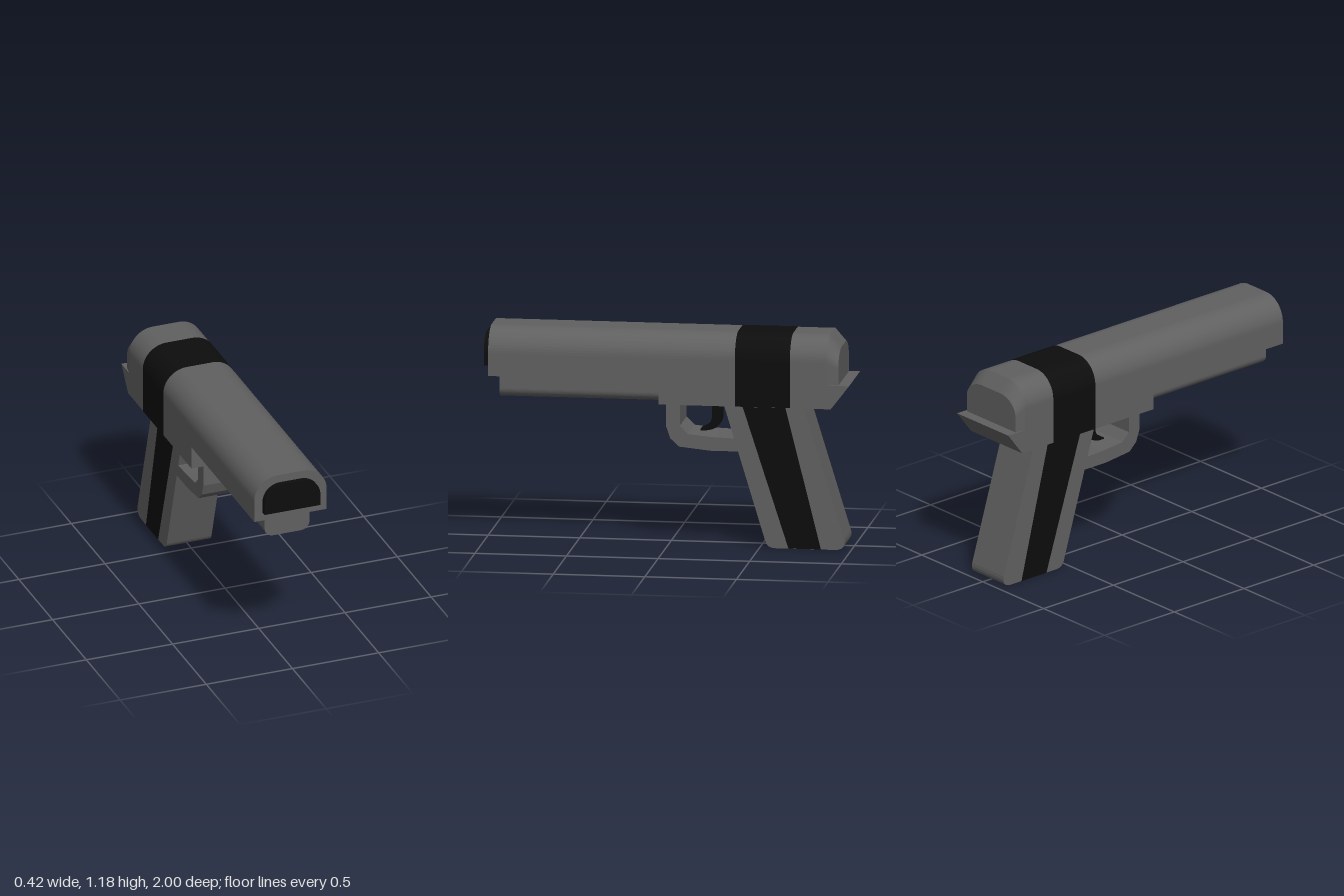
import * as THREE from 'three';

const gunmetal = new THREE.MeshStandardMaterial({ color: 0x606060 });
gunmetal.name = 'gunmetal';
const black = new THREE.MeshStandardMaterial({ color: 0x0d0d0d });
black.name = 'black';

// Rounded-top outline seen from the front
function archShape(halfWidth, bottom, top, r) {
  const s = new THREE.Shape();
  s.moveTo(-halfWidth, bottom);
  s.lineTo(halfWidth, bottom);
  s.lineTo(halfWidth, top - r);
  s.absarc(halfWidth - r, top - r, r, 0, Math.PI / 2, false);
  s.lineTo(-halfWidth + r, top);
  s.absarc(-halfWidth + r, top - r, r, Math.PI / 2, Math.PI, false);
  s.closePath();
  return s;
}

// Extrude a front outline between two z positions
function alongZ(shape, z0, z1) {
  return new THREE.ExtrudeGeometry(shape, { depth: z1 - z0, bevelEnabled: false, curveSegments: 7 })
    .translate(0, 0, z0);
}

// Extrude a side outline of [z, y] points to the given width, centred on x = 0
function acrossX(shape, width) {
  return new THREE.ExtrudeGeometry(shape, { depth: width, bevelEnabled: false, curveSegments: 6 })
    .translate(0, 0, -width / 2)
    .rotateY(-Math.PI / 2);
}

const polygon = (points) => new THREE.Shape(points.map(([z, y]) => new THREE.Vector2(z, y)));

export function createModel() {
  const group = new THREE.Group();
  const add = (name, geometry, material) => {
    const mesh = new THREE.Mesh(geometry, material);
    mesh.name = name;
    group.add(mesh);
    return mesh;
  };

  // Slide and its tapered rear end
  const slideOutline = archShape(0.21, 0.92, 1.18, 0.135);
  add('slide', alongZ(slideOutline, -0.88, 0.97), gunmetal);
  const rear = alongZ(slideOutline, -0.94, -0.88);
  const p = rear.attributes.position;
  for (let i = 0; i < p.count; i++) {
    if (p.getZ(i) < -0.91) {
      p.setX(i, p.getX(i) * 0.95);
      p.setY(i, 0.92 + (p.getY(i) - 0.92) * 0.73);
    }
  }
  rear.computeVertexNormals();
  add('slideRear', rear, gunmetal);

  // Frame below the slide, ending in a rear lip
  add('frame', acrossX(polygon([[0.04, 0.79], [0.04, 0.92], [-1, 0.92], [-0.9, 0.79]]), 0.42), gunmetal);

  // Dark underside of the slide ahead of the frame
  add('slideUnderside',
    new THREE.PlaneGeometry(0.418, 0.928).rotateX(Math.PI / 2).translate(0, 0.919, 0.505), black);

  // Rail under the barrel: an arch turned upside down
  const rail = alongZ(archShape(0.13, -0.92, -0.79, 0.05), -0.92, -0.04).rotateX(Math.PI);
  add('rail', rail, gunmetal);

  // Muzzle plate and the band around the slide
  add('muzzle', alongZ(archShape(0.162, 0.968, 1.135, 0.1), 0.96, 1.0), black);
  add('slideBand', alongZ(archShape(0.212, 0.791, 1.182, 0.137), -0.677, -0.377), black);

  // Slanted grip with rounded lower corners
  const grip = new THREE.Shape();
  grip.moveTo(-0.30, 0.8);
  grip.lineTo(-0.532, 0.035);
  grip.quadraticCurveTo(-0.545, 0, -0.585, 0);
  grip.lineTo(-0.92, 0);
  grip.quadraticCurveTo(-0.975, 0.005, -0.962, 0.06);
  grip.lineTo(-0.735, 0.8);
  grip.closePath();
  add('grip', acrossX(grip, 0.26), gunmetal);

  // Thin stripes on both sides of the grip
  const stripe = polygon([[-0.403, 0.79], [-0.658, 0.001], [-0.835, 0.001], [-0.637, 0.79]]);
  for (const side of [-1, 1]) {
    add(side > 0 ? 'gripStripeLeft' : 'gripStripeRight',
      acrossX(stripe, 0.004).translate(side * 0.13, 0, 0), black);
  }

  // Trigger guard
  add('triggerGuard', acrossX(polygon([
    [0.01, 0.8], [0.01, 0.655], [-0.012, 0.59], [-0.06, 0.545], [-0.23, 0.527], [-0.4, 0.527],
    [-0.4, 0.597], [-0.25, 0.602], [-0.11, 0.615], [-0.065, 0.66], [-0.065, 0.8],
  ]), 0.26), gunmetal);

  // Curved trigger
  const trigger = new THREE.Shape();
  trigger.moveTo(-0.228, 0.8);
  trigger.lineTo(-0.228, 0.7);
  trigger.quadraticCurveTo(-0.225, 0.645, -0.165, 0.628);
  trigger.lineTo(-0.165, 0.62);
  trigger.quadraticCurveTo(-0.28, 0.615, -0.28, 0.7);
  trigger.lineTo(-0.28, 0.8);
  trigger.closePath();
  add('trigger', acrossX(trigger, 0.08), black);

  return group;
}
